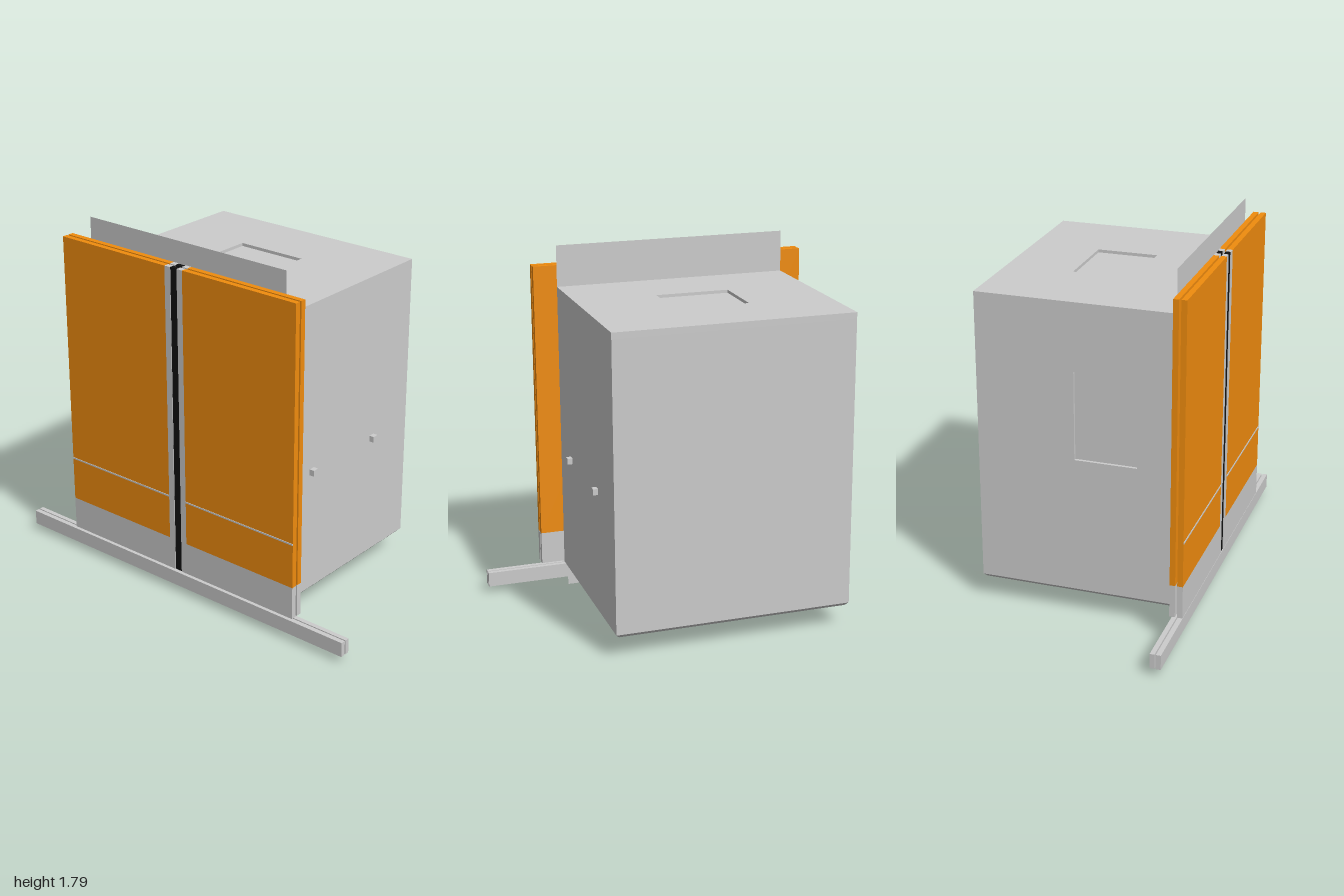
import * as THREE from 'three';

const grey = new THREE.MeshStandardMaterial({ color: 0xcccccc });
const greyThin = new THREE.MeshStandardMaterial({ color: 0xcccccc, side: THREE.DoubleSide });
const orange = new THREE.MeshStandardMaterial({ color: 0xf08c0e });
const black = new THREE.MeshStandardMaterial({ color: 0x111111 });

// Car extents and wall thickness
const X0 = -0.447, X1 = 0.52, Y0 = 0.13, Y1 = 1.586, Z0 = -0.578, Z1 = 0.603, T = 0.03;

function mesh(parent, name, geometry, material = grey) {
  const m = new THREE.Mesh(geometry, material);
  m.name = name;
  parent.add(m);
  return m;
}

// Box given by its lower and upper limits on each axis
function box(parent, name, x0, x1, y0, y1, z0, z1, material = grey) {
  const m = mesh(parent, name, new THREE.BoxGeometry(x1 - x0, y1 - y0, z1 - z0), material);
  m.position.set((x0 + x1) / 2, (y0 + y1) / 2, (z0 + z1) / 2);
  return m;
}

// Flat wall with a rectangular opening, extruded along +z
function wallWithOpening(u0, u1, v0, v1, a0, a1, b0, b1) {
  const corners = (p, q, r, s) => [[p, r], [q, r], [q, s], [p, s]].map(c => new THREE.Vector2(...c));
  const shape = new THREE.Shape(corners(u0, u1, v0, v1));
  shape.holes.push(new THREE.Path(corners(a0, a1, b0, b1).reverse()));
  return new THREE.ExtrudeGeometry(shape, { depth: T, bevelEnabled: false });
}

// Upright plane facing sideways
function plate(parent, name, y0, y1, z0, z1) {
  const m = mesh(parent, name, new THREE.PlaneGeometry(z1 - z0, y1 - y0), greyThin);
  m.rotation.y = -Math.PI / 2;
  m.position.set(X0, (y0 + y1) / 2, (z0 + z1) / 2);
}

function makeCar() {
  const car = new THREE.Group();
  car.name = 'car';
  box(car, 'frontWall', X0, X1, Y0, Y1 - T, Z1 - T, Z1);
  box(car, 'sideWall', X1 - T, X1, Y0, Y1 - T, Z0 + T, Z1 - T);

  // Back wall with its recessed panel
  const back = mesh(car, 'backWall', wallWithOpening(X0, X1, Y0, Y1 - T, -0.265, 0.04, 0.81, 1.25));
  back.position.z = Z0;
  box(car, 'backPanel', -0.265, 0.04, 0.81, 1.25, Z0 + 0.015, Z0 + T);

  // Roof with its recessed hatch
  const roof = mesh(car, 'roof', wallWithOpening(X0, X1, -Z1, -Z0, -0.115, 0.185, -0.195, 0.17));
  roof.rotation.x = -Math.PI / 2;
  roof.position.y = Y1 - T;
  box(car, 'roofHatch', -0.115, 0.185, Y1 - T, Y1 - 0.015, -0.17, 0.195);

  // Floor slab, tapering inward below on all sides but the doorway
  const floor = box(car, 'floor', X0, X1, 0.112, Y0, Z0, Z1);
  const p = floor.geometry.attributes.position;
  for (let i = 0; i < p.count; i++) {
    if (p.getY(i) > 0) continue;
    if (p.getX(i) > 0) p.setX(i, p.getX(i) - 0.017);
    p.setZ(i, p.getZ(i) - Math.sign(p.getZ(i)) * 0.017);
  }
  floor.geometry.computeVertexNormals();

  // Header and apron above and below the doorway
  plate(car, 'header', Y1, 1.793, Z0, Z1);
  plate(car, 'apron', 0, 0.112, Z0 + 0.017, Z1 - 0.017);

  // Small brackets on the front wall
  for (const x of [-0.241, 0.232]) box(car, 'frontBracket', x - 0.016, x + 0.016, 0.735, 0.765, Z1, 0.628);
  return car;
}

// One leaf: coloured panel, kick plate, edge post and rubber seal
function makeDoorLeaf(x0, x1, side) {
  const leaf = new THREE.Group();
  leaf.name = 'doorLeaf';
  const mid = 0.015, top = 1.692;
  const span = (name, a, b, y0, y1, material, inset = 0) => {
    const [z0, z1] = [mid + side * a, mid + side * b].sort((m, n) => m - n);
    return box(leaf, name, x0 + inset, x1 - inset, y0, y1, z0, z1, material);
  };
  span('doorPanel', 0.053, 0.703, 0.295, top, orange);
  span('kickPlate', 0.053, 0.703, Y0, 0.295, grey);
  span('edgePost', 0.02, 0.053, Y0, top, grey);
  span('rubberSeal', 0, 0.02, Y0, top, black, 0.003);
  return leaf;
}

export function createModel() {
  const model = new THREE.Group();
  model.name = 'elevator';
  model.add(makeCar());

  // Car doors and landing doors, each a centre-opening pair
  for (const [name, x0, x1] of [['carDoors', -0.488, -0.461], ['landingDoors', -0.525, -0.498]]) {
    const doors = new THREE.Group();
    doors.name = name;
    for (const side of [-1, 1]) doors.add(makeDoorLeaf(x0, x1, side));
    model.add(doors);
  }

  // Trim strips across the outer leaves
  for (const [z0, z1] of [[-0.688, -0.038], [0.068, 0.718]]) {
    box(model, 'trimStrip', -0.528, -0.525, 0.518, 0.526, z0, z1);
  }

  // Door sills
  box(model, 'carSill', -0.487, -0.464, 0.036, 0.11, -1, 1);
  box(model, 'landingSill', -0.517, -0.493, 0.036, 0.11, -1, 1);
  return model;
}
